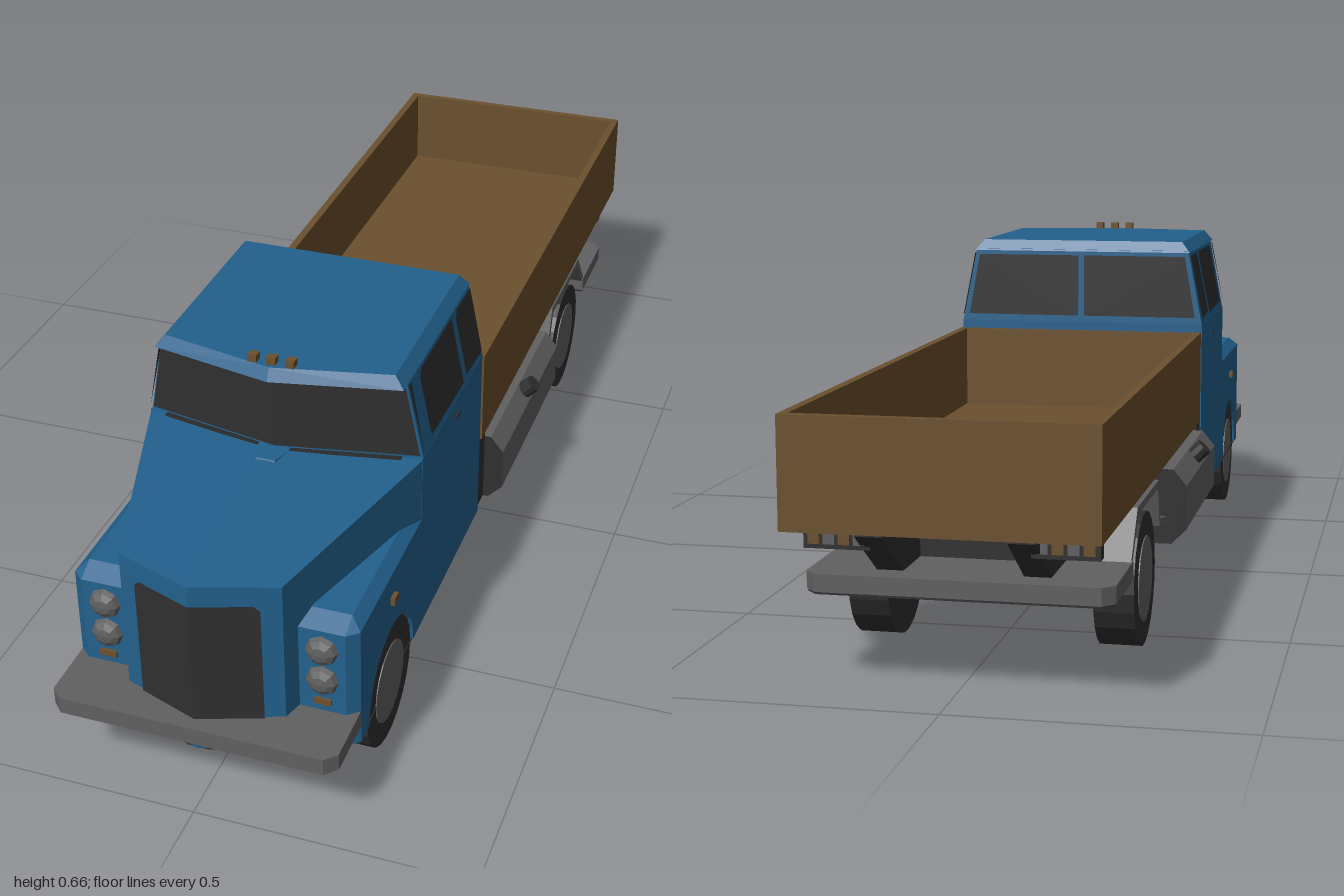
import * as THREE from 'three';
import { ConvexGeometry } from 'three/addons/geometries/ConvexGeometry.js';

const paint = (name, color) => {
  const m = new THREE.MeshStandardMaterial({ color, flatShading: true });
  m.name = name;
  return m;
};

export function createModel() {
  const truck = new THREE.Group();
  truck.name = 'flatbedTruck';
  const blue = paint('bluePaint', 0x22608c);
  const brown = paint('brownWood', 0x6b502d);
  const gray = paint('grayMetal', 0x606060);
  const dark = paint('darkTrim', 0x2f2f2f);
  const glass = paint('darkGlass', 0x2f2f2f);
  glass.side = THREE.DoubleSide;

  const add = (name, geo, mat) => {
    const mesh = new THREE.Mesh(geo, mat);
    mesh.name = name;
    truck.add(mesh);
    return mesh;
  };
  // Box from its lower and upper limits
  const box = (name, mat, x0, x1, y0, y1, z0, z1) => add(name,
    new THREE.BoxGeometry(x1 - x0, y1 - y0, z1 - z0)
      .translate((x0 + x1) / 2, (y0 + y1) / 2, (z0 + z1) / 2), mat);
  const hull = (name, mat, pts) =>
    add(name, new ConvexGeometry(pts.map(p => new THREE.Vector3(...p))), mat);
  const shapeOf = pts => new THREE.Shape(pts.map(p => new THREE.Vector2(...p)));
  const extrude = (pts, depth) =>
    new THREE.ExtrudeGeometry(shapeOf(pts), { depth, bevelEnabled: false });
  // Side profile (z, y) extruded across x0..x1
  const across = (name, mat, pts, x0, x1) =>
    add(name, extrude(pts, x1 - x0).rotateY(-Math.PI / 2).translate(x1, 0, 0), mat);
  // Plan outline (x, z) extruded between y0..y1
  const plan = (name, mat, pts, y0, y1) =>
    add(name, extrude(pts, y1 - y0).rotateX(Math.PI / 2).translate(0, y1, 0), mat);
  // Flat convex pane from its corners
  const pane = (name, mat, pts) => {
    const g = new THREE.BufferGeometry().setFromPoints(pts.map(p => new THREE.Vector3(...p)));
    const idx = [];
    for (let i = 1; i < pts.length - 1; i++) idx.push(0, i, i + 1);
    g.setIndex(idx);
    g.computeVertexNormals();
    return add(name, g, mat);
  };
  // Adds the mirrored copy of half a list of points
  const both = pts => pts.flatMap(p => [p, [-p[0], p[1], p[2]]]);
  const outline = pts => [...pts, ...pts.slice().reverse().map(([x, z]) => [-x, z])];

  // Cab, roof and hood
  box('cabBody', blue, -0.255, 0.255, 0.12, 0.48, 0.17, 0.542);
  hull('cabUpper', blue, both([
    [0.255, 0.478, 0.17], [0.255, 0.478, 0.535], [0, 0.478, 0.585],
    [0.225, 0.632, 0.175], [0.225, 0.632, 0.541], [0, 0.632, 0.585]]));
  hull('roof', blue, both([
    [0.228, 0.628, 0.173], [0.228, 0.628, 0.565], [0, 0.628, 0.612],
    [0.21, 0.65, 0.185], [0.21, 0.65, 0.555], [0, 0.65, 0.6]]));
  hull('hood', blue, both([
    [0.255, 0.12, 0.54], [0.142, 0.12, 0.92], [0, 0.12, 0.97],
    [0.255, 0.478, 0.54], [0, 0.484, 0.59], [0.142, 0.455, 0.92], [0, 0.457, 0.97]]));
  hull('hoodVent', blue, both([
    [0.03, 0.483, 0.588], [0.016, 0.463, 0.64], [0.018, 0.484, 0.63], [0.03, 0.47, 0.588]]));
  plan('cabFloor', dark, outline([[0.252, 0.172], [0.252, 0.87], [0.15, 0.9], [0.02, 0.963]]), 0.116, 0.1195);

  // Back windows sit just behind the cab wall
  for (const s of [-1, 1]) {
    const sx = p => [s * p[0], p[1], p[2]];
    const lim = (a, b) => (s > 0 ? [a, b] : [-b, -a]);
    const sideX = y => 0.258 - (y - 0.48) * 0.2;

    // Windows
    pane('windscreen', glass, [[0, 0.486, 0.589], [0.25, 0.486, 0.54],
      [0.224, 0.628, 0.545], [0, 0.628, 0.589]].map(sx));
    pane('screenCorner', glass, [[0.2575, 0.486, 0.492], [0.2575, 0.486, 0.537],
      [0.2295, 0.625, 0.541], [0.2295, 0.625, 0.528]].slice(1).map(sx));
    for (const [name, z0, z1] of [['doorWindow', 0.295, 0.487], ['rearSideWindow', 0.177, 0.275]])
      pane(name, glass, [[z0, 0.492], [z1, 0.497], [z1, 0.61], [z1 - 0.012, 0.622], [z0, 0.622]]
        .map(([z, y]) => sx([sideX(y), y, z])));
    pane('backWindow', glass, [[0.006, 0.494, 0.167], [0.24, 0.494, 0.167],
      [0.218, 0.62, 0.171], [0.006, 0.62, 0.171]].map(sx));
    hull('wiper', dark, [[0.03, 0.481, 0.592], [0.03, 0.488, 0.592], [0.22, 0.481, 0.556],
      [0.22, 0.486, 0.556], [0.03, 0.484, 0.584], [0.22, 0.483, 0.546]].map(sx));
    box('doorHandle', dark, ...lim(0.254, 0.259), 0.444, 0.45, 0.325, 0.347);

    // Grille half with clipped corners, following the pointed nose
    pane('grille', glass, [[0, 0.155], [0.1, 0.155], [0.11, 0.165], [0.11, 0.41], [0.1, 0.42], [0, 0.42]]
      .map(([x, y]) => sx([x, y, 0.974 - x * 0.352])));

    // Front fender with wheel arch, bevelled cap and nose
    const arch = [];
    for (let i = 0; i <= 14; i++) {
      const a = Math.PI * (1 - i / 14);
      arch.push([0.705 + 0.121 * Math.cos(a), 0.12 + 0.121 * Math.sin(a)]);
    }
    across('fender', blue, [[0.541, 0.12], ...arch, [0.832, 0.12], [0.832, 0.353], [0.541, 0.353]],
      ...lim(0.153, 0.255));
    hull('fenderCap', blue, [[0.153, 0.353, 0.541], [0.255, 0.353, 0.541], [0.153, 0.353, 0.885],
      [0.235, 0.353, 0.885], [0.255, 0.353, 0.868], [0.165, 0.371, 0.6], [0.235, 0.371, 0.6],
      [0.165, 0.371, 0.85], [0.235, 0.371, 0.85]].map(sx));
    hull('fenderNose', blue, [0.12, 0.353].flatMap(y => [[0.153, y, 0.83], [0.255, y, 0.83],
      [0.255, y, 0.868], [0.235, y, 0.885], [0.153, y, 0.885]]).map(sx));

    // Lights
    for (const y of [0.314, 0.252])
      add('headlight', new THREE.SphereGeometry(0.029, 8, 3, 0, Math.PI * 2, 0, Math.PI / 2)
        .scale(1, 0.6, 1).rotateX(Math.PI / 2).translate(s * 0.194, y, 0.885), gray);
    box('indicator', brown, ...lim(0.179, 0.21), 0.202, 0.214, 0.884, 0.89);
    box('sideMarker', brown, ...lim(0.254, 0.263), 0.295, 0.309, 0.694, 0.716);
    box('tailLightHousing', dark, ...lim(0.13, 0.24), 0.238, 0.281, -0.925, -0.9);
    for (let i = 0; i < 4; i++)
      box('tailLightLens', i % 2 ? brown : gray, ...lim(0.138 + i * 0.025, 0.157 + i * 0.025),
        0.246, 0.272, -0.929, -0.924);

    // Wheels
    for (const z of [0.705, -0.55]) {
      add('tyre', new THREE.CylinderGeometry(0.118, 0.118, 0.07, 22)
        .rotateZ(Math.PI / 2).translate(s * 0.215, 0.119, z), dark);
      add('hub', new THREE.CylinderGeometry(0.075, 0.075, 0.07, 18)
        .rotateZ(Math.PI / 2).translate(s * 0.217, 0.119, z), gray);
    }

    // Chassis rail rising to the bed at the rear
    across('chassisRail', dark, [[0.18, 0.125], [0.18, 0.281], [-0.96, 0.281], [-0.96, 0.268],
      [-0.75, 0.125]], ...lim(0.1, 0.145));

    // Side tank with dark ends and a tilted filler cap
    const tank = [[0.15, 0.125], [0.262, 0.125], [0.29, 0.153], [0.29, 0.235], [0.265, 0.266], [0.15, 0.266]];
    add('sideTank', extrude(tank.map(([x, y]) => [s * x, y]), 0.43).translate(0, 0, -0.308), [dark, gray]);
    box('tankBracket', dark, ...lim(0.14, 0.252), 0.125, 0.28, 0.122, 0.17);
    const cap = add('fillerCap', new THREE.CylinderGeometry(0.017, 0.017, 0.036, 10), dark);
    cap.position.set(s * 0.283, 0.259, -0.09);
    cap.rotation.z = -s * Math.PI / 4;

    // Rear mudguard
    across('mudguard', gray, [[-0.31, 0.165], [-0.31, 0.178], [-0.385, 0.19], [-0.41, 0.266],
      [-0.65, 0.266], [-0.715, 0.187], [-0.715, 0.17], [-0.64, 0.252], [-0.42, 0.252],
      [-0.397, 0.178]], ...lim(0.16, 0.253));
  }

  // Bumpers
  plan('frontBumper', gray, outline([[0.255, 0.868], [0.255, 0.978], [0.235, 0.998]]), 0.155, 0.187);
  plan('rearBumper', gray, outline([[0.255, -0.705], [0.255, -0.87], [0.235, -0.89]]), 0.157, 0.187);
  plan('rearBumperUnderside', dark, outline([[0.253, -0.705], [0.253, -0.869], [0.234, -0.888]]), 0.153, 0.158);

  // Roof marker lights
  for (const x of [-0.034, 0, 0.034])
    box('roofLight', brown, x - 0.008, x + 0.008, 0.648, 0.663, 0.575, 0.592);

  // Axles and cross members
  for (const z of [0.705, -0.55])
    add('axle', new THREE.CylinderGeometry(0.018, 0.018, 0.38, 8)
      .rotateZ(Math.PI / 2).translate(0, 0.14, z), dark);
  for (const z of [0.1, -0.3, -0.72])
    box('crossMember', dark, -0.11, 0.11, 0.18, 0.27, z - 0.02, z + 0.02);

  // Open wooden bed
  box('bedFloor', brown, -0.25, 0.25, 0.28, 0.305, -0.995, 0.15);
  for (const s of [-1, 1])
    box('bedSide', brown, s * 0.2475 - 0.0075, s * 0.2475 + 0.0075, 0.28, 0.465, -1, 0.155);
  box('bedTailgate', brown, -0.24, 0.24, 0.28, 0.465, -1, -0.985);
  box('bedFrontWall', brown, -0.24, 0.24, 0.28, 0.465, 0.14, 0.155);

  return truck;
}
